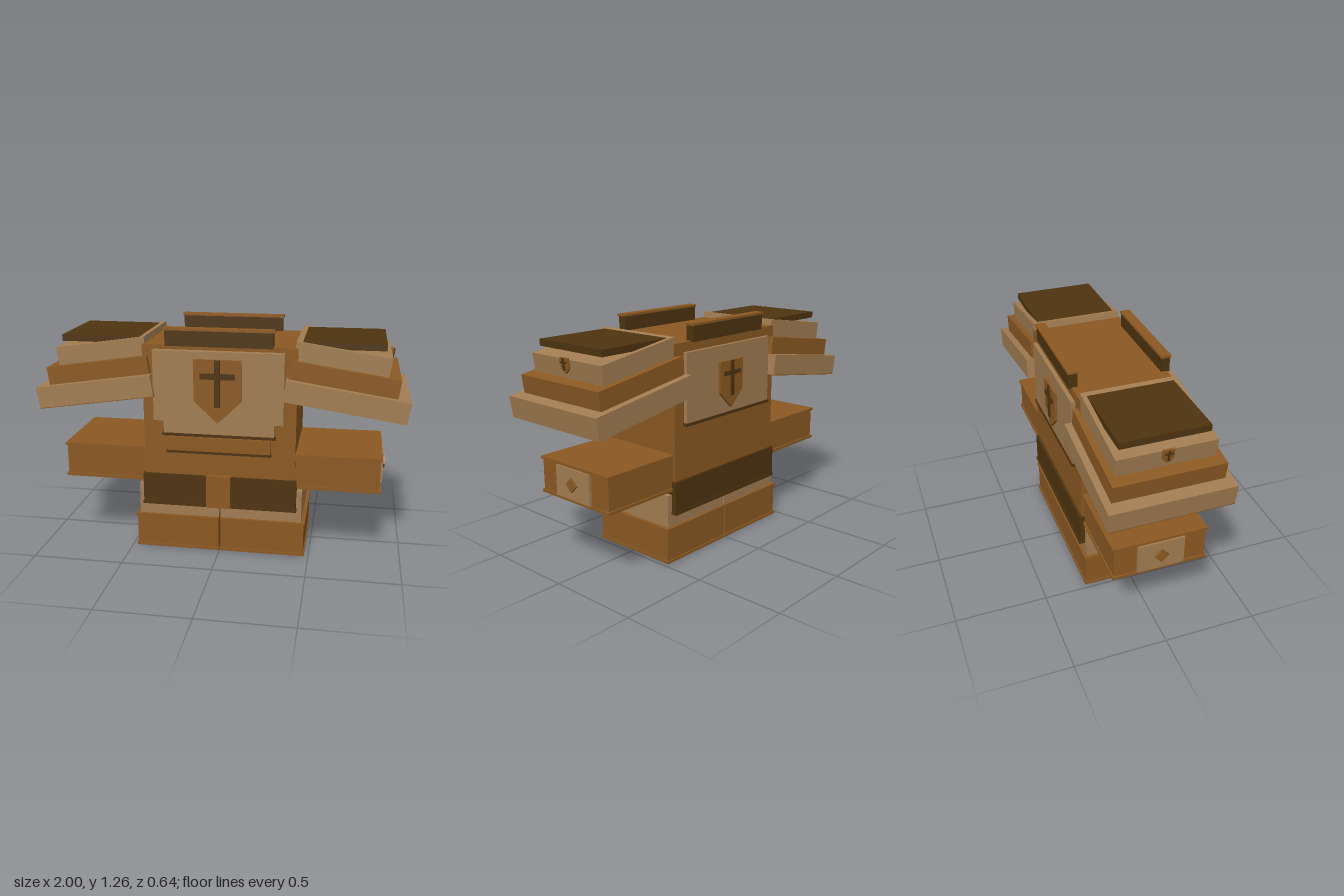
import * as THREE from 'three';

const paint = (name, color) => {
  const m = new THREE.MeshStandardMaterial({ color });
  m.name = name;
  return m;
};

export function createModel() {
  const leather = paint('leather brown', 0x8b5923);
  const tan = paint('tan', 0xa27d52);
  const dark = paint('dark brown', 0x4e330f);
  const model = new THREE.Group();
  model.name = 'blockArmour';

  // Box given by its minimum and maximum corners
  const box = (parent, name, mat, x0, x1, y0, y1, z0, z1) => {
    const mesh = new THREE.Mesh(new THREE.BoxGeometry(x1 - x0, y1 - y0, z1 - z0), mat);
    mesh.position.set((x0 + x1) / 2, (y0 + y1) / 2, (z0 + z1) / 2);
    mesh.name = name;
    parent.add(mesh);
    return mesh;
  };
  const group = (parent, name) => {
    const g = new THREE.Group();
    g.name = name;
    parent.add(g);
    return g;
  };

  // Pointed shield with a raised cross; the origin is at its top centre, facing +z
  const shield = (parent, name, w, h, depth) => {
    const g = group(parent, name);
    const s = new THREE.Shape();
    s.moveTo(-w, 0);
    s.lineTo(-w, -h * 0.65);
    s.lineTo(0, -h);
    s.lineTo(w, -h * 0.65);
    s.lineTo(w, 0);
    const plate = new THREE.Mesh(new THREE.ExtrudeGeometry(s, { depth, bevelEnabled: false }), leather);
    plate.name = 'shieldPlate';
    g.add(plate);
    const top = depth + 0.009;
    box(g, 'crossUpright', dark, -w * 0.12, w * 0.12, -h * 0.74, 0, depth - 0.002, top);
    box(g, 'crossBar', dark, -w * 0.72, w * 0.72, -h * 0.3, -h * 0.21, depth - 0.002, top - 0.001);
    return g;
  };

  // Torso and belt
  box(model, 'torso', leather, -0.415, 0.415, 0.28, 1.17, -0.258, 0.258);
  box(model, 'belt', dark, -0.425, 0.425, 0.28, 0.445, -0.272, 0.272);
  box(model, 'beltLip', dark, -0.428, 0.428, 0.265, 0.282, -0.277, 0.277);
  box(model, 'buckle', leather, -0.067, 0.067, 0.27, 0.453, 0.25, 0.295);

  // Front chest plates
  box(model, 'chestPlate', tan, -0.35, 0.35, 0.762, 1.145, 0.25, 0.297);
  box(model, 'bellyPlate', tan, -0.3, 0.3, 0.685, 0.77, 0.25, 0.28);
  box(model, 'bellyLip', dark, -0.308, 0.308, 0.675, 0.69, 0.25, 0.285);
  box(model, 'waistPlate', leather, -0.28, 0.28, 0.588, 0.668, 0.25, 0.278);
  box(model, 'waistLip', dark, -0.287, 0.287, 0.578, 0.59, 0.25, 0.284);
  shield(model, 'chestShield', 0.127, 0.343, 0.015).position.set(0, 1.106, 0.296);

  // Back plate
  box(model, 'backPlate', tan, -0.345, 0.345, 0.747, 1.12, -0.28, -0.25);
  box(model, 'backLip', dark, -0.352, 0.352, 0.735, 0.75, -0.285, -0.25);
  const backShield = shield(model, 'backShield', 0.095, 0.26, 0.015);
  backShield.position.set(0, 1.035, -0.279);
  backShield.rotation.y = Math.PI;

  // Collar bars
  for (const s of [1, -1]) {
    const z = s * 0.249;
    box(model, 'collar', dark, -0.287, 0.287, 1.165, 1.25, z - 0.023, z + 0.023);
    box(model, 'collarCap', leather, -0.294, 0.294, 1.248, 1.26, z - 0.028, z + 0.028);
  }

  // Both sides; the second is the first turned about y
  for (const s of [1, -1]) {
    const side = group(model, s > 0 ? 'leftSide' : 'rightSide');
    side.rotation.y = s > 0 ? 0 : Math.PI;

    // Leg and boot
    box(side, 'leg', tan, 0.005, 0.455, 0.18, 0.373, -0.245, 0.245);
    box(side, 'boot', leather, 0.005, 0.47, 0.01, 0.19, -0.255, 0.255);
    box(side, 'bootSole', leather, 0.004, 0.476, 0, 0.015, -0.262, 0.262);
    box(side, 'bootCuff', leather, 0.004, 0.476, 0.181, 0.196, -0.262, 0.262);

    // Arm with end plate and diamond stud
    box(side, 'arm', leather, 0.4, 0.868, 0.4, 0.588, -0.245, 0.245);
    box(side, 'armLowerRim', leather, 0.4, 0.876, 0.396, 0.412, -0.253, 0.253);
    box(side, 'armUpperRim', leather, 0.4, 0.876, 0.577, 0.592, -0.253, 0.253);
    box(side, 'cuffPlate', tan, 0.86, 0.884, 0.413, 0.576, -0.125, 0.125);
    const stud = box(side, 'cuffStud', leather, 0.87, 0.896, 0.468, 0.522, -0.027, 0.027);
    stud.rotation.x = Math.PI / 4;

    // Sloping shoulder layers, each placed by its outer top edge
    const layer = (name, x, y, length, thick, halfDepth, mat) => {
      const g = group(side, name);
      g.position.set(x, y, 0);
      g.rotation.z = -0.147;
      box(g, name + 'Slab', mat, -length, 0, -thick, 0, -halfDepth, halfDepth);
      return g;
    };
    const low = layer('lowerShoulder', 0.998, 0.92, 0.645, 0.115, 0.322, tan);
    if (s < 0) box(low, 'shoulderLining', leather, -0.645, 0, -0.119, -0.1145, -0.322, 0.322);
    layer('middleShoulder', 0.945, 1.025, 0.567, 0.098, 0.285, leather);
    const high = layer('upperShoulder', 0.895, 1.132, 0.495, 0.098, 0.253, tan);
    box(side, 'shoulderTop', dark, 0.41, 0.865, 1.165, 1.2, -0.228, 0.228);
    const crest = shield(high, 'shoulderCrest', 0.029, 0.08, 0.012);
    crest.position.set(-0.001, 0.008, 0);
    crest.rotation.y = Math.PI / 2;
  }
  return model;
}
